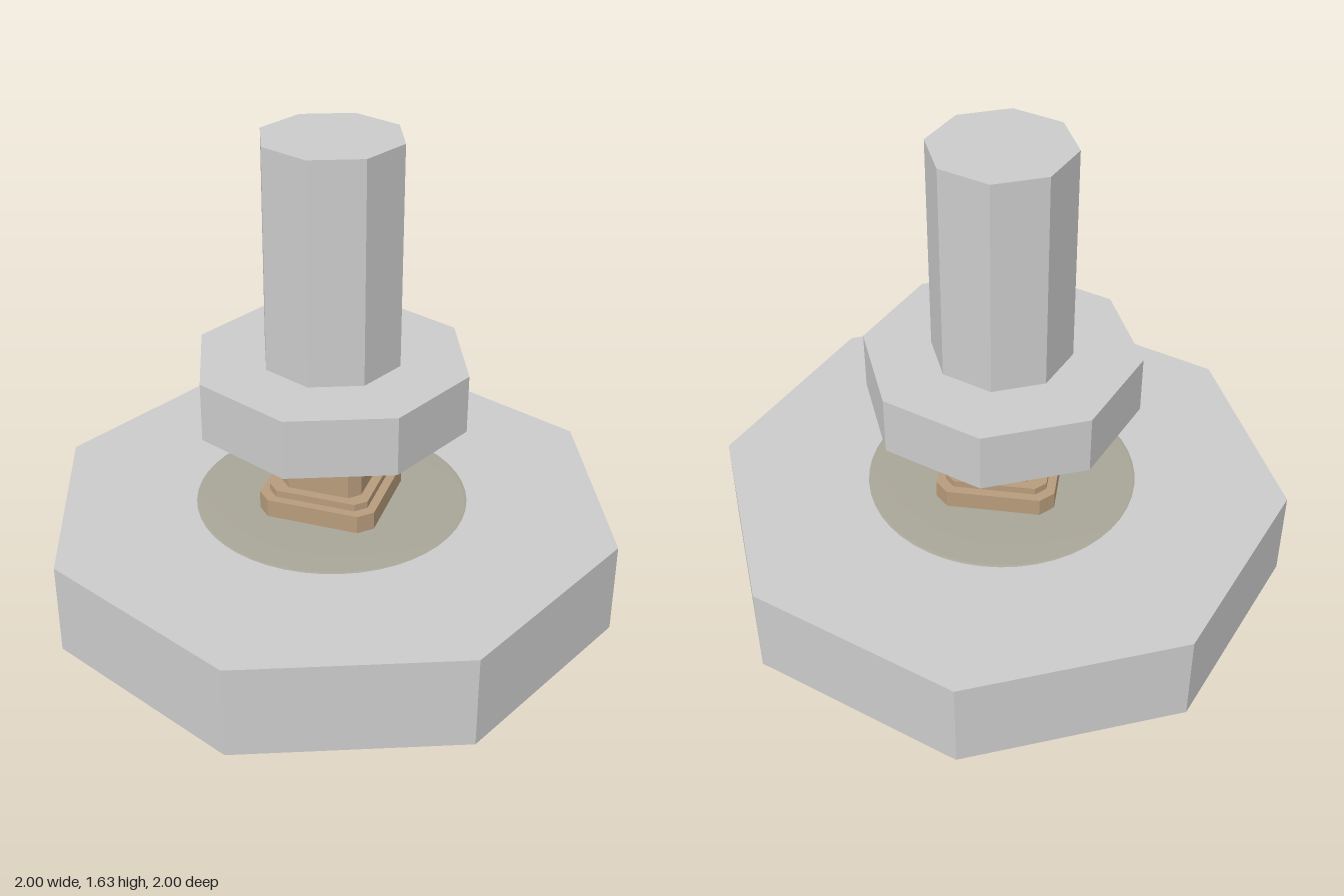
import * as THREE from 'three';

const grey = new THREE.MeshStandardMaterial({ color: 0xcccccc, flatShading: true });
const bronze = new THREE.MeshStandardMaterial({ color: 0xb89c7c, flatShading: true });
const dull = new THREE.MeshStandardMaterial({ color: 0xa8a598 });

// Eight-sided prism with corners on the x and z axes
function octagon(name, radius, y0, y1) {
  const mesh = new THREE.Mesh(new THREE.CylinderGeometry(radius, radius, y1 - y0, 8), grey);
  mesh.position.y = (y0 + y1) / 2;
  mesh.name = name;
  return mesh;
}

// Square slab with clipped corners
function clippedSlab(name, half, clip, y0, y1) {
  const a = half, b = half - clip;
  const corners = [[a, -b], [a, b], [b, a], [-b, a], [-a, b], [-a, -b], [-b, -a], [b, -a]];
  const shape = new THREE.Shape(corners.map(([x, y]) => new THREE.Vector2(x, y)));
  const geometry = new THREE.ExtrudeGeometry(shape, { depth: y1 - y0, bevelEnabled: false });
  geometry.rotateX(-Math.PI / 2);
  const mesh = new THREE.Mesh(geometry, bronze);
  mesh.position.y = y0;
  mesh.name = name;
  return mesh;
}

export function createModel() {
  const model = new THREE.Group();
  model.name = 'pedestal';

  // Stone base, collar and post
  model.add(octagon('base', 1, 0, 0.325));
  model.add(octagon('collar', 0.47, 0.67, 0.875));
  model.add(octagon('post', 0.238, 0.875, 1.635));

  // Very shallow round plate lying on the base
  const profile = [[0.47, 0.325], [0.46, 0.328], [0.35, 0.33], [0, 0.332]];
  const plate = new THREE.Mesh(
    new THREE.LatheGeometry(profile.map(([r, y]) => new THREE.Vector2(r, y)), 48), dull);
  plate.name = 'plate';
  model.add(plate);

  // Stepped stem between base and collar
  const stem = new THREE.Group();
  stem.name = 'stem';
  stem.add(
    clippedSlab('stemFoot', 0.205, 0.045, 0.325, 0.395),
    clippedSlab('stemStep', 0.175, 0.035, 0.395, 0.42),
    clippedSlab('stemShaft', 0.142, 0.036, 0.42, 0.635),
    clippedSlab('stemLip', 0.163, 0.036, 0.635, 0.656),
    clippedSlab('stemNeck', 0.142, 0.036, 0.656, 0.672),
  );
  model.add(stem);
  return model;
}
